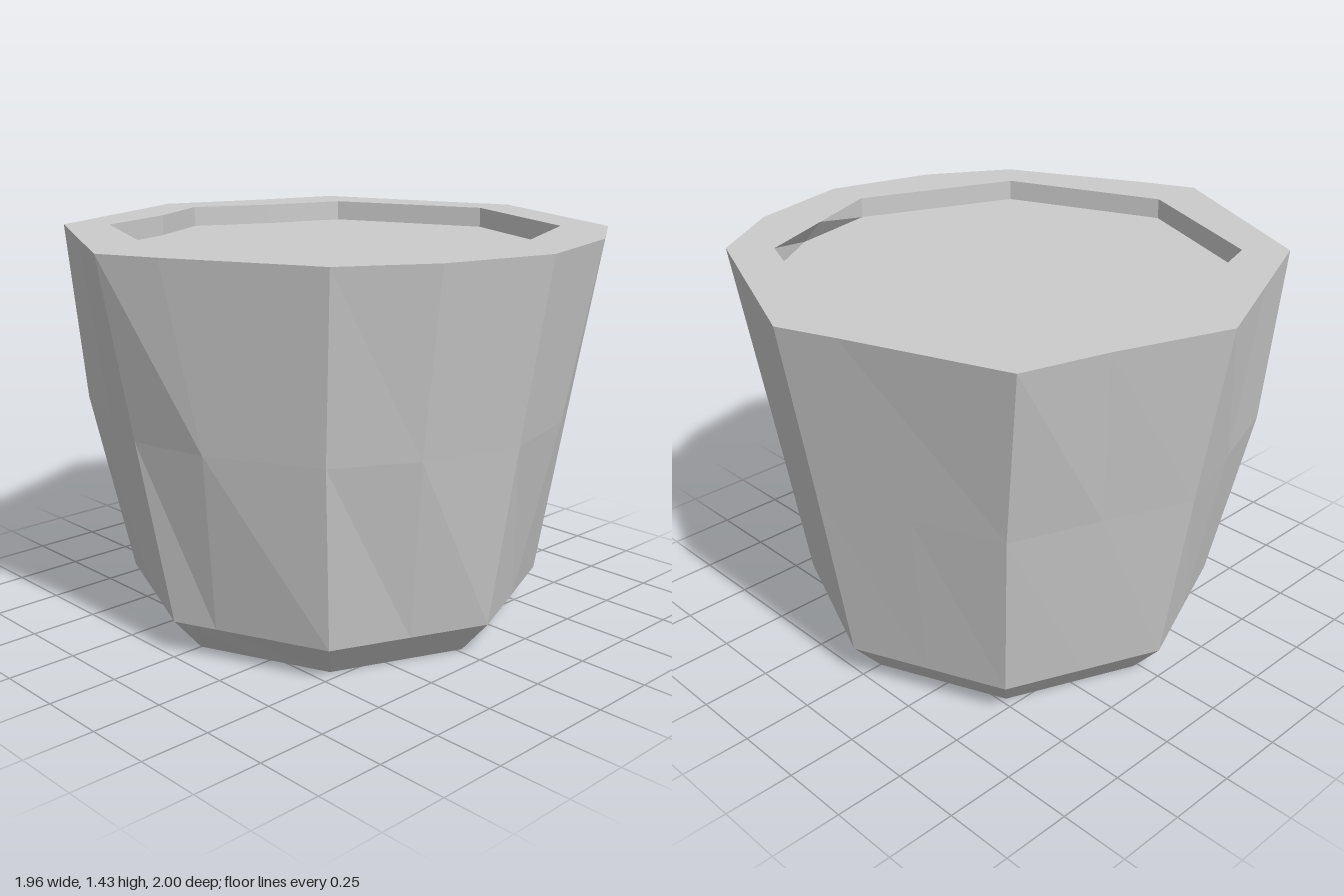
import * as THREE from 'three';

const material = new THREE.MeshStandardMaterial({ color: 0xcccccc, flatShading: true });

// Ring of 16 points: 8 corners from the front towards +x, with edge midpoints that may be shifted.
function ring(y, corners, shifted = {}) {
  const points = [];
  corners.forEach(([x, z], i) => {
    const [nx, nz] = corners[(i + 1) % 8];
    const [mx, mz] = shifted[i] ?? [(x + nx) / 2, (z + nz) / 2];
    points.push(new THREE.Vector3(x, y, z), new THREE.Vector3(mx, y, mz));
  });
  return points;
}

// Regular octagon corners around the pot's axis.
function octagon(radius) {
  return Array.from({ length: 8 }, (_, i) => {
    const a = (i * Math.PI) / 4;
    return [radius * Math.sin(a), radius * Math.cos(a) - 0.02];
  });
}

function toMesh(name, points) {
  const geometry = new THREE.BufferGeometry().setFromPoints(points);
  geometry.computeVertexNormals();
  const mesh = new THREE.Mesh(geometry, material);
  mesh.name = name;
  return mesh;
}

// Skin between successive rings.
function loft(rings) {
  const out = [];
  for (let r = 0; r < rings.length - 1; r++) {
    const low = rings[r], up = rings[r + 1];
    for (let i = 0; i < 16; i++) {
      const j = (i + 1) % 16;
      out.push(low[i], low[j], up[i], up[i], low[j], up[j]);
    }
  }
  return out;
}

// Flat cap facing up or down.
function cap(points, up) {
  const centre = new THREE.Vector3(0, points[0].y, -0.02);
  return points.flatMap((p, i) => {
    const q = points[(i + 1) % 16];
    return up ? [centre, p, q] : [centre, q, p];
  });
}

export function createModel() {
  const group = new THREE.Group();
  group.name = 'plantPot';

  // Bevelled foot
  const base = ring(0, octagon(0.65));
  const foot = ring(0.13, octagon(0.763), { 0: [0.15, 0.68] });

  // Uneven, chiselled wall
  const waist = ring(0.79,
    [[-0.04, 0.85], [0.61, 0.6], [0.87, -0.02], [0.615, -0.635],
      [0, -0.89], [-0.63, -0.64], [-0.87, -0.02], [-0.65, 0.62]],
    { 0: [0.24, 0.79], 1: [0.765, 0.33], 2: [0.775, -0.37] });
  const rim = ring(1.43,
    [[0, 1], [0.69, 0.66], [0.98, 0.02 - 0.04], [0.69, -0.71],
      [0, -1], [-0.75, -0.715], [-0.98, 0.02 - 0.04], [-0.69, 0.665]],
    { 0: [0.2, 0.91], 1: [0.87, 0.37], 2: [0.88, -0.42], 4: [-0.2, -0.92], 5: [-0.835, -0.42] });

  // Opening and the soil line below it
  const mouth = octagon(0.807);
  const dents = { 5: [-0.67, -0.3], 6: [-0.67, 0.24] };
  const opening = ring(1.43, mouth, dents);
  const soil = ring(1.355, mouth, { ...dents, 2: [0.73, -0.35] });

  group.add(toMesh('pot', [...cap(base, false), ...loft([base, foot, waist, rim, opening, soil])]));
  group.add(toMesh('soil', cap(soil, true)));
  return group;
}
